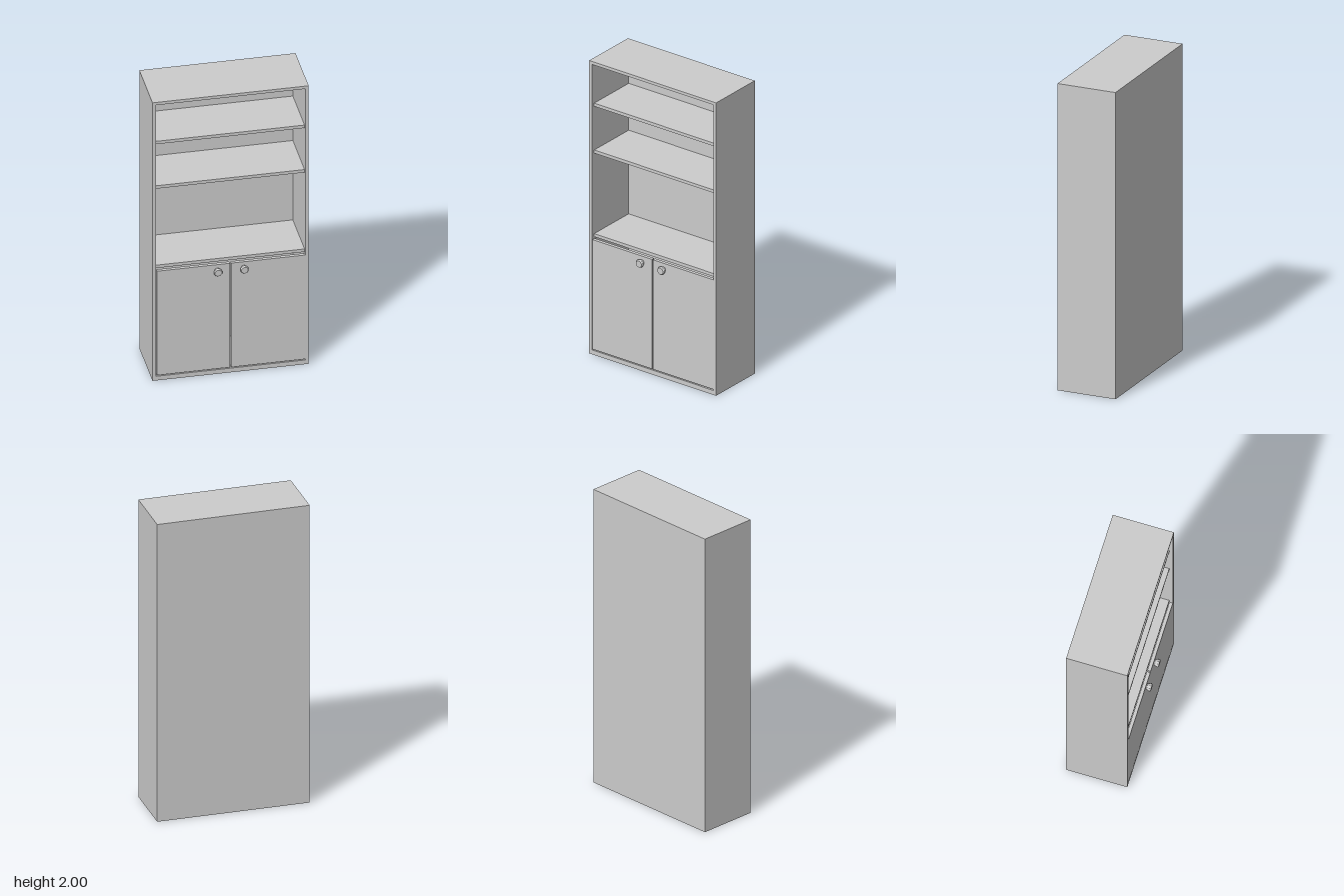
import * as THREE from 'three';

const material = new THREE.MeshStandardMaterial({ color: 0xcccccc, flatShading: true });

// Box given by its minimum and maximum on each axis
function panel(name, [x0, x1], [y0, y1], [z0, z1]) {
  const mesh = new THREE.Mesh(new THREE.BoxGeometry(x1 - x0, y1 - y0, z1 - z0), material);
  mesh.position.set((x0 + x1) / 2, (y0 + y1) / 2, (z0 + z1) / 2);
  mesh.name = name;
  return mesh;
}

export function createModel() {
  const group = new THREE.Group();
  group.name = 'bookcase';

  const W = 0.49, IN = 0.469;             // outer and inner half width
  const BACK = -0.2125, FRONT = 0.18;
  const FLOOR = 0.03, CEILING = 1.98;
  const backInner = BACK + 0.02;

  // Carcass
  group.add(
    panel('rightSide', [-W, -IN], [0, 2], [BACK, FRONT]),
    panel('leftSide', [IN, W], [0, 2], [BACK, FRONT]),
    panel('topPanel', [-IN, IN], [CEILING, 2], [BACK, FRONT]),
    panel('bottomPanel', [-IN, IN], [0, FLOOR], [BACK, FRONT]),
    panel('backPanel', [-IN, IN], [FLOOR, CEILING], [BACK, backInner]),
  );

  // Shelves, set slightly back from the front edge
  for (const y of [0.794, 1.365, 1.685]) {
    group.add(panel('shelf', [-IN, IN], [y, y + 0.021], [backInner, 0.157]));
  }

  // Doors, flush with the carcass
  group.add(
    panel('rightDoor', [-0.463, -0.005], [0.037, 0.785], [0.158, FRONT]),
    panel('leftDoor', [0.003, IN], [0.037, 0.785], [0.158, FRONT]),
  );

  // Flared knobs with a bevelled face
  const profile = [[0, 0], [0.019, 0], [0.021, 0.008], [0.027, 0.02], [0.027, 0.025], [0.022, 0.0325], [0, 0.0325]]
    .map(([r, h]) => new THREE.Vector2(r, h));
  const knobGeometry = new THREE.LatheGeometry(profile, 10);
  knobGeometry.rotateX(Math.PI / 2);
  for (const side of [-1, 1]) {
    const knob = new THREE.Mesh(knobGeometry, material);
    knob.name = side < 0 ? 'rightKnob' : 'leftKnob';
    knob.position.set(side * 0.083, 0.742, FRONT);
    group.add(knob);
  }
  return group;
}
